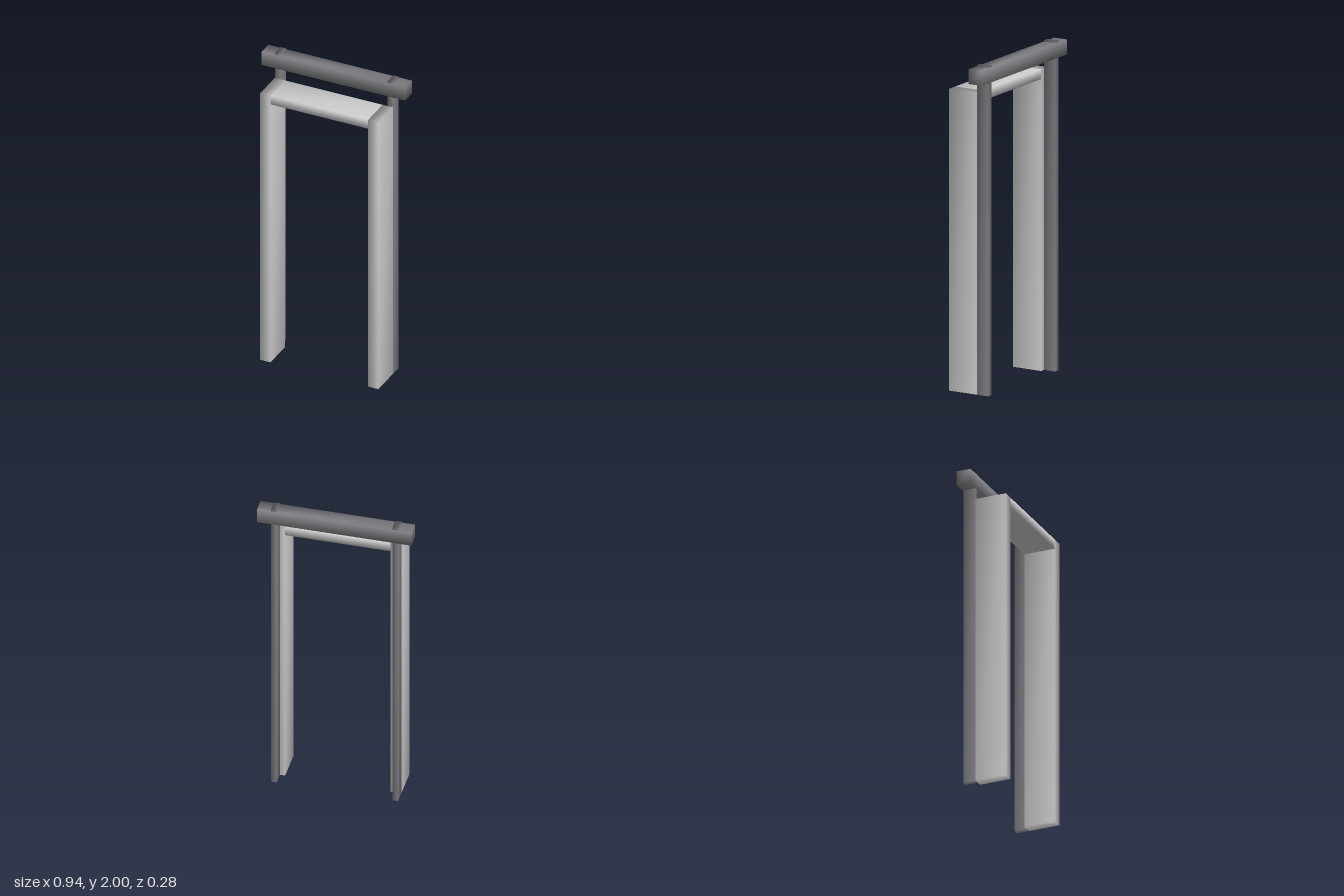
import * as THREE from 'three';
import { mergeVertices } from 'three/addons/utils/BufferGeometryUtils.js';

const frameMaterial = new THREE.MeshStandardMaterial({ color: 0xcccccc });
const darkMaterial = new THREE.MeshStandardMaterial({ color: 0x7e7e83 });

// Box between two corners, with normals shared across its edges for soft shading
function softBox(name, min, max, material) {
  const [w, h, d] = max.map((v, i) => v - min[i]);
  let geometry = new THREE.BoxGeometry(w, h, d);
  geometry.deleteAttribute('normal');
  geometry.deleteAttribute('uv');
  geometry = mergeVertices(geometry);
  geometry.computeVertexNormals();
  const mesh = new THREE.Mesh(geometry, material);
  mesh.name = name;
  mesh.position.set(...max.map((v, i) => (v + min[i]) / 2));
  return mesh;
}

export function createModel() {
  const group = new THREE.Group();
  group.name = 'doorFrame';

  // Pair of wide jambs, each with a slim post behind it that carries the beam
  for (const [side, s] of [['left', 1], ['right', -1]]) {
    const jamb = softBox(side + 'Jamb', [0.32, 0, -0.055], [0.387, 1.83, 0.14], frameMaterial);
    const post = softBox(side + 'Post', [0.352, 0, -0.133], [0.387, 2, -0.056], darkMaterial);
    for (const mesh of [jamb, post]) {
      mesh.position.x *= s;
      group.add(mesh);
    }
  }

  // Lintel between the jambs
  group.add(softBox('lintel', [-0.32, 1.77, -0.055], [0.32, 1.83, 0.14], frameMaterial));

  // Beam across the top of the posts
  group.add(softBox('topBeam', [-0.47, 1.9, -0.14], [0.47, 1.99, -0.05], darkMaterial));

  return group;
}
